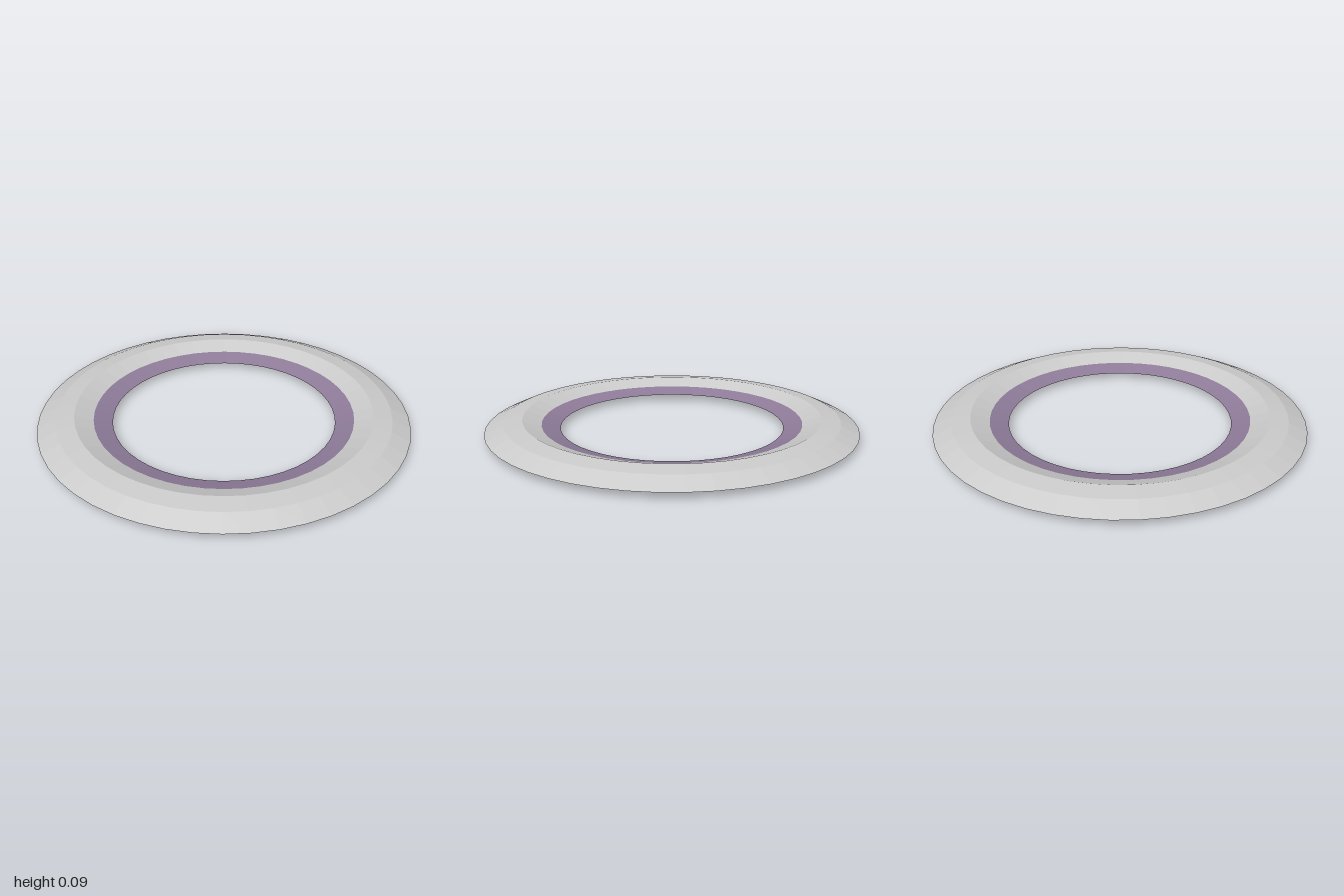
import * as THREE from 'three';

const SEGMENTS = 48;

// Revolves a [radius, height] profile into a faceted band
function band(name, profile, color) {
  const points = profile.map(([r, y]) => new THREE.Vector2(r, y));
  const mesh = new THREE.Mesh(
    new THREE.LatheGeometry(points, SEGMENTS),
    new THREE.MeshStandardMaterial({ color, flatShading: true, side: THREE.DoubleSide })
  );
  mesh.name = name;
  return mesh;
}

export function createModel() {
  const group = new THREE.Group();
  group.name = 'ring';

  // Outer body: underside, sharp rim, crest, then the slope toward the hole
  group.add(band('ringBody', [
    [0.7, 0.013], [0.8, 0], [0.9, 0.007], [1, 0.035],
    [0.9, 0.081], [0.8, 0.095], [0.7, 0.061],
  ], 0xcccccc));

  // Coloured inner edge, tapering to a sharp lip around the hole
  group.add(band('innerBand', [
    [0.7, 0.061], [0.6, 0.035], [0.7, 0.013],
  ], 0x8f7c9a));

  return group;
}
